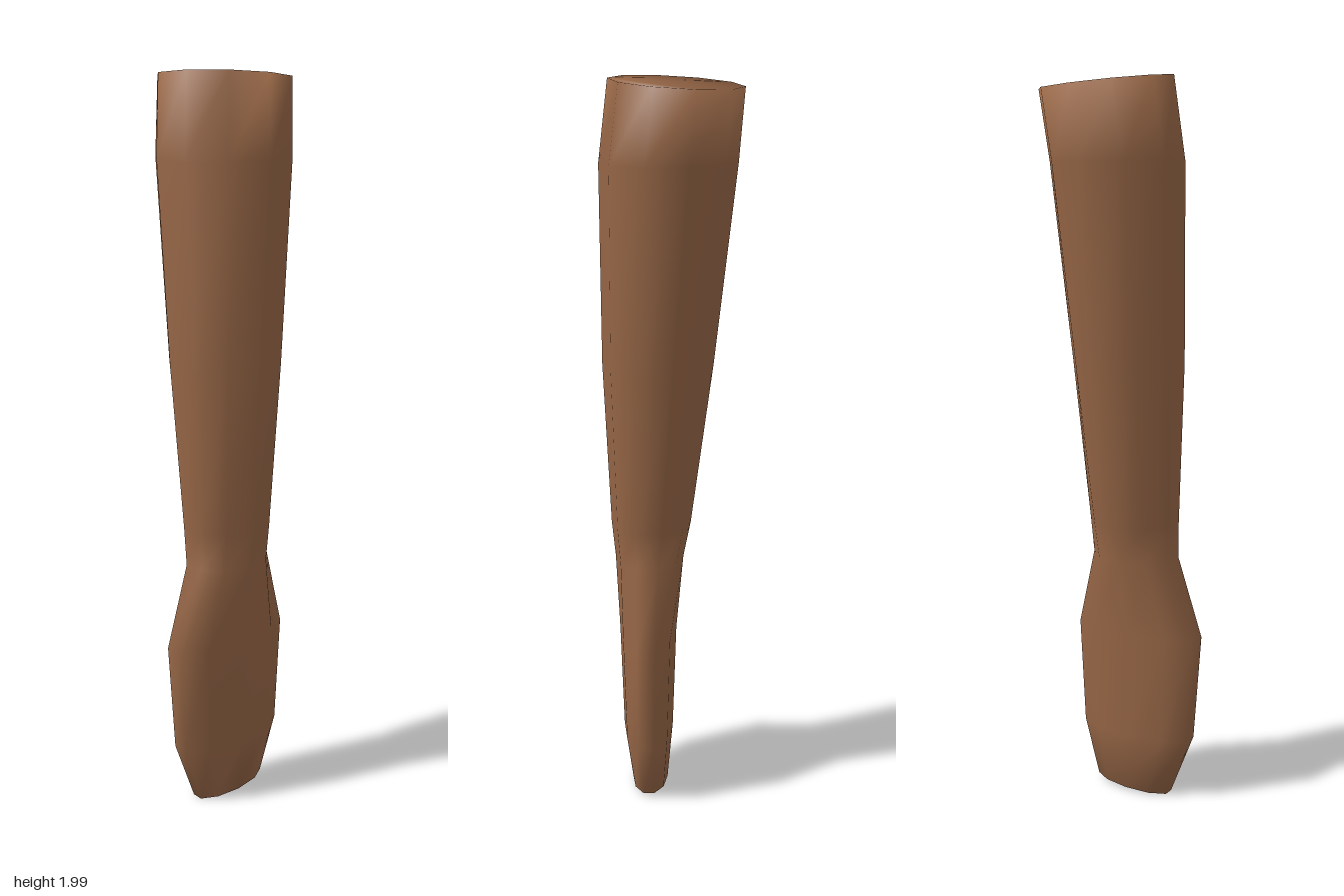
import * as THREE from 'three';

const SIDES = 10;

// Joins ten-sided rings, listed from bottom to top, into a closed smooth limb.
// Ring: [y, xMin, xMax, zMin, zMax, rise along x, rise along z]
function loftLimb(rings) {
  const positions = [], index = [];
  for (const [y, x0, x1, z0, z1, sx = 0, sz = 0] of rings) {
    const cx = (x0 + x1) / 2, cz = (z0 + z1) / 2;
    const rx = (x1 - x0) / 2, rz = (z1 - z0) / 2 / Math.sin(Math.PI * 0.4);
    for (let j = 0; j < SIDES; j++) {
      const a = (j / SIDES) * Math.PI * 2;
      const dx = rx * Math.cos(a), dz = rz * Math.sin(a);
      positions.push(cx + dx, y + dx * sx + dz * sz, cz + dz);
    }
  }
  // Side walls
  for (let i = 0; i < rings.length - 1; i++) {
    for (let j = 0; j < SIDES; j++) {
      const k = (j + 1) % SIDES;
      const a = i * SIDES + j, b = i * SIDES + k;
      index.push(a, a + SIDES, b, b, a + SIDES, b + SIDES);
    }
  }
  // End caps share the rim vertices, so the shading rolls over the ends
  const top = (rings.length - 1) * SIDES;
  for (let j = 1; j < SIDES - 1; j++) {
    index.push(0, j, j + 1);
    index.push(top, top + j + 1, top + j);
  }
  const geometry = new THREE.BufferGeometry();
  geometry.setAttribute('position', new THREE.Float32BufferAttribute(positions, 3));
  geometry.setIndex(index);
  geometry.computeVertexNormals();
  return geometry;
}

export function createModel() {
  const group = new THREE.Group();
  group.name = 'arm';
  const skin = new THREE.MeshStandardMaterial({ color: 0x966646 });
  skin.name = 'brown skin';

  const arm = new THREE.Mesh(loftLimb([
    [0.012, 0.01, 0.11, -0.10, 0.125, -0.02, -0.06],  // fingertips
    [0.18, -0.005, 0.135, -0.145, 0.19],              // fingers
    [0.48, -0.015, 0.145, -0.16, 0.21],               // palm
    [0.70, -0.035, 0.155, -0.105, 0.135],             // wrist
    [0.80, -0.055, 0.165, -0.11, 0.135],              // lower forearm
    [1.25, -0.115, 0.185, -0.145, 0.153],             // mid forearm
    [1.78, -0.175, 0.187, -0.19, 0.16],               // upper forearm
    [1.982, -0.19, 0.16, -0.21, 0.137, 0.06, 0.075],  // elbow end
  ]), skin);
  arm.name = 'forearmAndHand';
  group.add(arm);
  return group;
}
